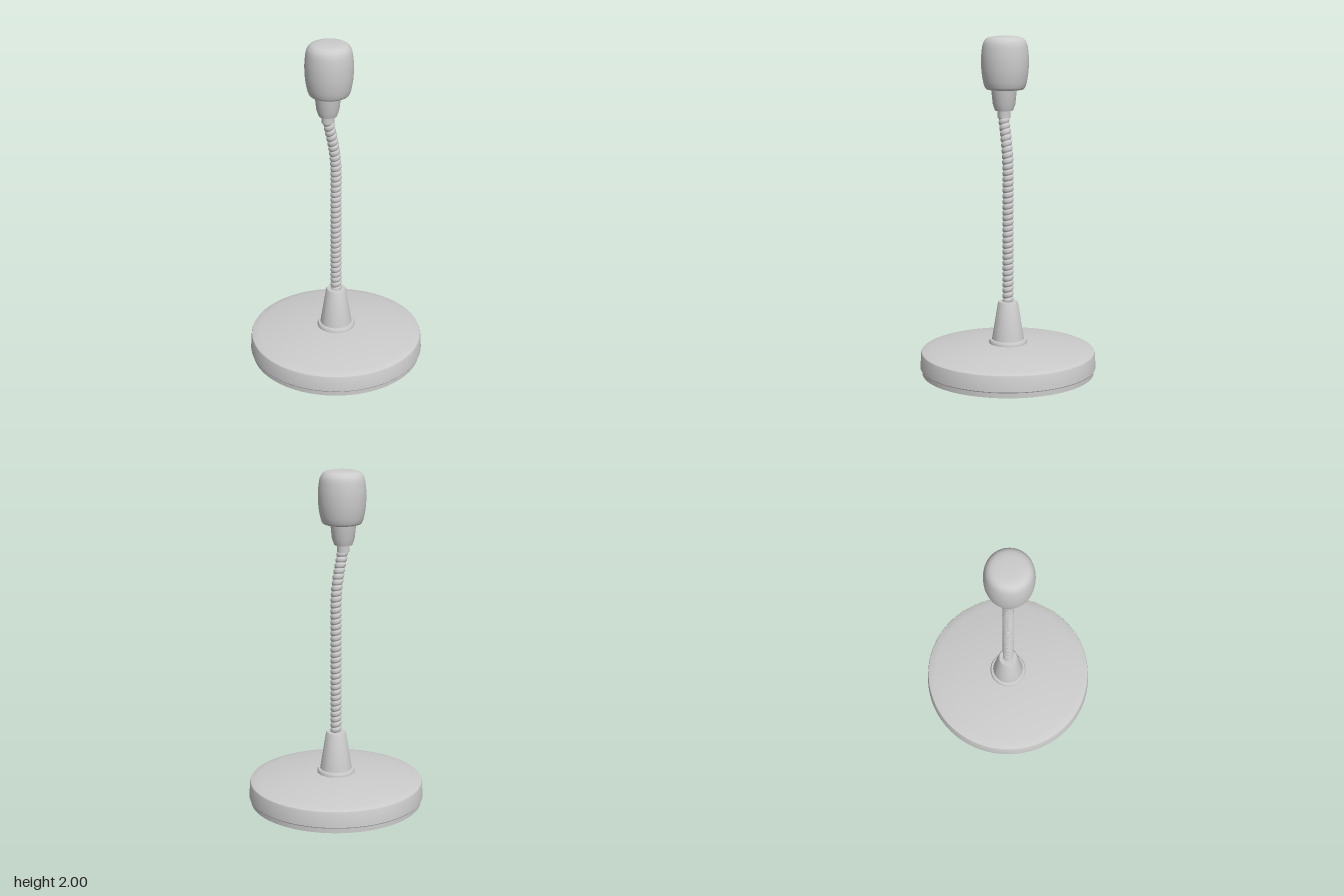
import * as THREE from 'three';
import { mergeVertices, toCreasedNormals } from 'three/addons/utils/BufferGeometryUtils.js';

const material = new THREE.MeshStandardMaterial({ color: 0xcccccc });

function addMesh(parent, name, geometry) {
  const mesh = new THREE.Mesh(geometry, material);
  mesh.name = name;
  parent.add(mesh);
  return mesh;
}

// Turned part from [radius, height] pairs, listed bottom to top
function turned(parent, name, profile, segments = 64) {
  const points = profile.map(([r, y]) => new THREE.Vector2(r, y));
  return addMesh(parent, name, toCreasedNormals(new THREE.LatheGeometry(points, segments), 0.5));
}

// Flexible stem: a tube whose radius swells and shrinks along a helix
function gooseneckGeometry(path, radius, depth, pitch) {
  const steps = 420, sides = 24;
  const turns = Math.round(path.getLength() / pitch);
  const geometry = new THREE.TubeGeometry(path, steps, radius, sides);
  const position = geometry.attributes.position;
  const v = new THREE.Vector3();
  for (let i = 0; i <= steps; i++) {
    const centre = path.getPointAt(i / steps);
    for (let j = 0; j <= sides; j++) {
      const k = i * (sides + 1) + j;
      const phase = Math.PI * (turns * i / steps + j / sides);
      const scale = 1 - depth * (1 - Math.abs(Math.sin(phase))) ** 1.5;
      v.fromBufferAttribute(position, k).sub(centre).multiplyScalar(scale).add(centre);
      position.setXYZ(k, v.x, v.y, v.z);
    }
  }
  geometry.deleteAttribute('uv');
  geometry.deleteAttribute('normal');
  const merged = mergeVertices(geometry, 1e-5);
  merged.computeVertexNormals();
  return merged;
}

export function createModel() {
  const model = new THREE.Group();
  model.name = 'gooseneckMicrophone';

  // Base: recessed foot, then a slightly tapered rim with a shallow dome
  turned(model, 'foot', [[0, 0], [0.514, 0], [0.514, 0.04]], 96);
  const dome = [];
  for (let i = 0; i <= 12; i++) {
    const t = i / 12;
    dome.push([0.51 * (1 - t), 0.134 + 0.05 * (1 - (1 - t) ** 2)]);
  }
  turned(model, 'baseBody', [
    [0.5, 0.032], [0.522, 0.032], [0.525, 0.037], [0.519, 0.124], [0.516, 0.131], ...dome,
  ], 96);

  // Conical socket with its collar
  turned(model, 'socketCollar', [
    [0.113, 0.165], [0.113, 0.192], [0.107, 0.203], [0.09, 0.205],
  ]);
  turned(model, 'socketCone', [
    [0.096, 0.2], [0.06, 0.425], [0.055, 0.434], [0, 0.434],
  ]);

  // Stem, straight and then leaning toward the model's right
  const path = new THREE.CatmullRomCurve3([
    [0, 0.42], [0, 0.7], [0, 1], [0, 1.22], [-0.007, 1.32], [-0.024, 1.42], [-0.042, 1.5], [-0.05, 1.55],
  ].map(([x, y]) => new THREE.Vector3(x, y, 0)));
  addMesh(model, 'flexibleStem', gooseneckGeometry(path, 0.033, 0.2, 0.033));

  // Stepped neck under the head
  const neck = turned(model, 'neck', [
    [0, 1.525], [0.037, 1.525], [0.037, 1.567], [0.053, 1.567], [0.066, 1.605], [0.076, 1.7],
  ]);
  neck.position.set(-0.049, 0, -0.003);

  // Rounded foam head
  const profile = new THREE.SplineCurve([
    [0.1, 1.69], [0.114, 1.697], [0.126, 1.73], [0.136, 1.79], [0.139, 1.85], [0.137, 1.9],
    [0.128, 1.955], [0.108, 1.985], [0.07, 1.997], [0, 2],
  ].map(([r, y]) => new THREE.Vector2(r, y))).getPoints(36);
  const head = turned(model, 'head', [[0, 1.69], ...profile.map((p) => [Math.max(p.x, 0), Math.min(p.y, 2)])]);
  head.position.set(-0.04, 0, -0.004);

  return model;
}
